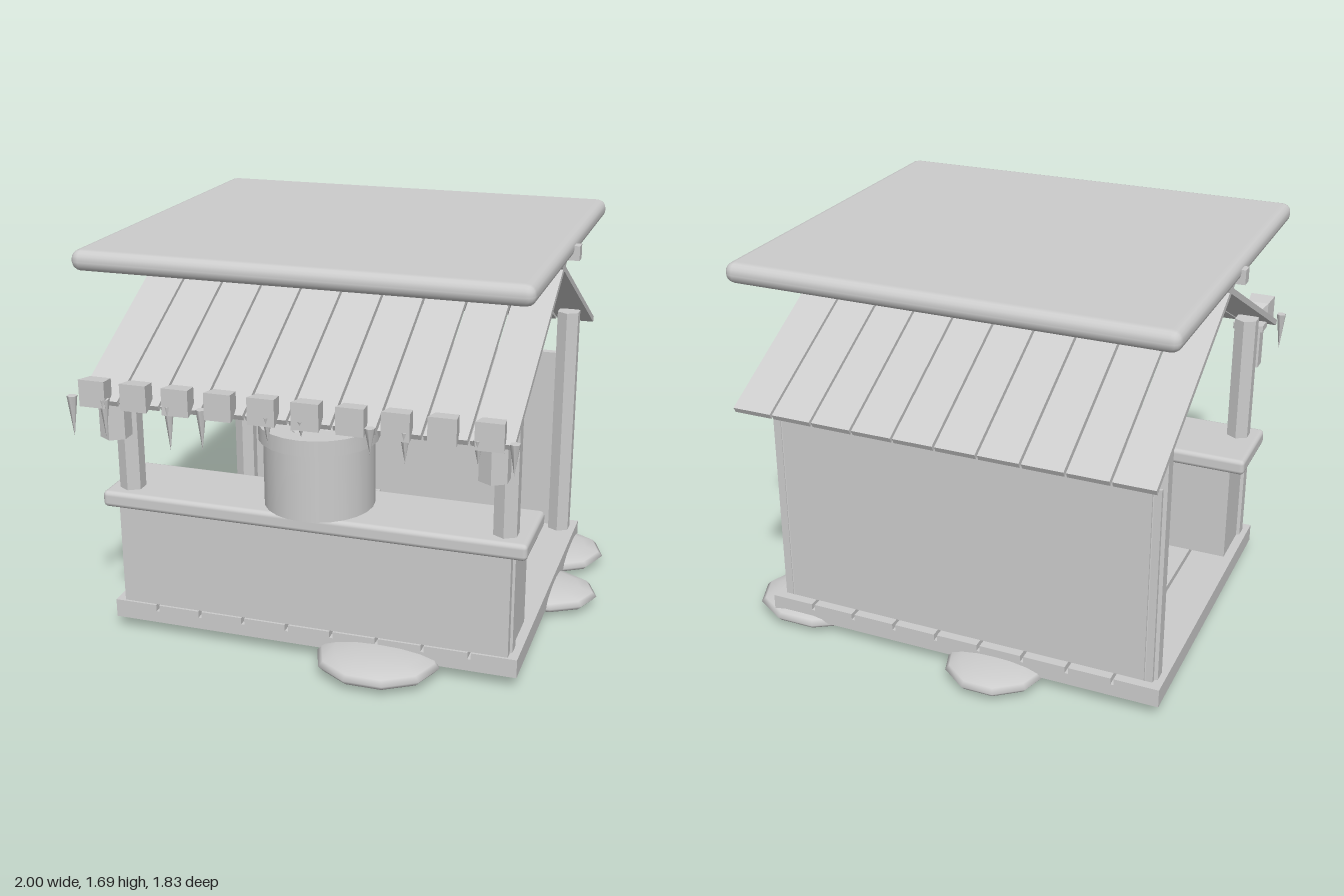
import * as THREE from 'three';
import { RoundedBoxGeometry } from 'three/addons/geometries/RoundedBoxGeometry.js';

const CX = -0.067; // centre line of the hut

export function createModel() {
  const hut = new THREE.Group();
  hut.name = 'marketStall';
  const grey = new THREE.MeshStandardMaterial({ color: 0xcccccc });
  grey.name = 'lightGrey';

  function add(name, geometry, x = 0, y = 0, z = 0, parent = hut) {
    const mesh = new THREE.Mesh(geometry, grey);
    mesh.name = name;
    mesh.position.set(x, y, z);
    parent.add(mesh);
    return mesh;
  }
  // Box given by its lower and upper limits
  function span(name, x0, x1, y0, y1, z0, z1) {
    return add(name, new THREE.BoxGeometry(x1 - x0, y1 - y0, z1 - z0),
      (x0 + x1) / 2, (y0 + y1) / 2, (z0 + z1) / 2);
  }
  // Faceted prism
  function prism(radius, height, sides = 6) {
    const g = new THREE.CylinderGeometry(radius, radius, height, sides).toNonIndexed();
    g.computeVertexNormals();
    return g;
  }

  // Floor: solid base with nine planks
  span('floorBase', -0.94, 0.81, 0.06, 0.112, -0.73, 0.68);
  const floorPitch = 1.75 / 9;
  for (let i = 0; i < 9; i++) {
    const x = -0.94 + i * floorPitch;
    span('floorPlank', x + (i ? 0.007 : 0), x + floorPitch - (i < 8 ? 0.007 : 0),
      0.112, 0.14, -0.73, 0.68);
  }

  // Four corner posts
  for (const side of [-1, 1]) {
    for (const z of [0.6, -0.638]) {
      add('cornerPost', prism(0.054, 1.07), CX + side * 0.8, 0.675, z);
    }
  }

  // Back wall, counter and worktop
  span('backWall', -0.9, 0.77, 0.14, 1.0, -0.69, -0.655);
  span('counterBody', -0.9, 0.77, 0.14, 0.58, 0.35, 0.67);
  add('worktop', new RoundedBoxGeometry(1.8, 0.07, 0.365, 2, 0.02), CX + 0.002, 0.61, 0.5125);
  span('hangingCloth', CX - 0.2, CX + 0.2, 0.4, 0.64, 0.316, 0.348);

  // Tub with a rim and a heap of lumps
  add('tub', new THREE.CylinderGeometry(0.228, 0.228, 0.3, 24), CX, 0.795, 0.51);
  add('tubRim', new THREE.CylinderGeometry(0.247, 0.247, 0.066, 24), CX, 0.963, 0.51);
  const lump = new THREE.IcosahedronGeometry(0.05, 0);
  for (let i = 0; i < 11; i++) {
    const a = i * 2.4, r = 0.055 * Math.sqrt(i);
    const m = add('lump', lump, CX + r * Math.cos(a), 0.972, 0.51 + r * Math.sin(a));
    m.rotation.set(i, i * 1.7, i * 0.6);
  }

  // Roof: ten planks on each slope, crossing at the ridge
  const roofPitch = 0.176;
  const tilt = Math.atan2(0.49, 0.945);
  const plank = new THREE.BoxGeometry(roofPitch - 0.01, 0.025, 1.065);
  for (let i = 0; i < 10; i++) {
    const x = -0.948 + (i + 0.5) * roofPitch;
    add('frontRoofPlank', plank, x, 1.35, 0.388).rotation.x = tilt;
    add('backRoofPlank', plank, x, 1.35, -0.428).rotation.x = -tilt;
  }
  span('ridgeBeam', -1.0, 0.87, 1.6, 1.66, -0.045, 0.005);
  add('topSlab', new RoundedBoxGeometry(1.83, 0.085, 1.65, 2, 0.04), CX, 1.65, -0.02);

  // Blocks along the front eave, narrowing towards the roof
  const block = new THREE.BoxGeometry(0.11, 0.11, 0.11, 1, 1, 2).toNonIndexed();
  const p = block.attributes.position;
  for (let i = 0; i < p.count; i++) {
    const z = p.getZ(i);
    const s = z > 0.01 ? 1 : z > -0.01 ? 0.82 : 0.4;
    p.setXYZ(i, p.getX(i) * s, p.getY(i) * s, Math.abs(z) < 0.01 ? -0.025 : z);
  }
  block.computeVertexNormals();
  for (let i = 0; i < 10; i++) {
    add('eaveBlock', block, -0.948 + (i + 0.5) * roofPitch, 1.155, 0.858);
  }

  // Icicles: position along the eave and height of the tip
  const icicles = [
    [-0.955, 0.965], [-0.815, 0.975], [-0.54, 0.95], [-0.405, 0.97], [-0.135, 1.03],
    [0, 1.07], [0.27, 1.03], [0.405, 1.01], [0.68, 1.04], [0.815, 1.01],
  ];
  for (const [x, tip] of icicles) {
    const h = 1.135 - tip;
    add('icicle', new THREE.ConeGeometry(0.021, h, 6), x, tip + h / 2, 0.897).rotation.x = Math.PI;
  }

  // Lanterns under the front eave
  for (const side of [-1, 1]) {
    const lantern = new THREE.Group();
    lantern.name = 'lantern';
    lantern.position.set(CX + side * 0.78, 0, 0.755);
    add('lanternBody', prism(0.064, 0.175), 0, 1.017, 0, lantern);
    add('lanternCap', prism(0.078, 0.03), 0, 1.12, 0, lantern);
    add('lanternHook', prism(0.02, 0.03), 0, 1.15, 0, lantern);
    hut.add(lantern);
  }

  // Flat mounds under the floor: x, z, half width, half depth, half height
  const mounds = [
    [0.69, -0.55, 0.27, 0.23, 0.05], [0.75, -0.125, 0.25, 0.195, 0.05],
    [0.38, -0.27, 0.2, 0.17, 0.04], [-0.235, -0.69, 0.22, 0.23, 0.05],
    [-0.7, -0.39, 0.22, 0.19, 0.04], [-0.4, 0.31, 0.2, 0.17, 0.04],
    [0.24, 0.7, 0.26, 0.22, 0.055], [0.2, 0.5, 0.24, 0.2, 0.045],
  ];
  const mound = new THREE.SphereGeometry(1, 10, 8);
  for (const [x, z, rx, rz, ry] of mounds) {
    add('mound', mound, x, ry + 0.006, z).scale.set(rx, ry, rz);
  }

  return hut;
}
